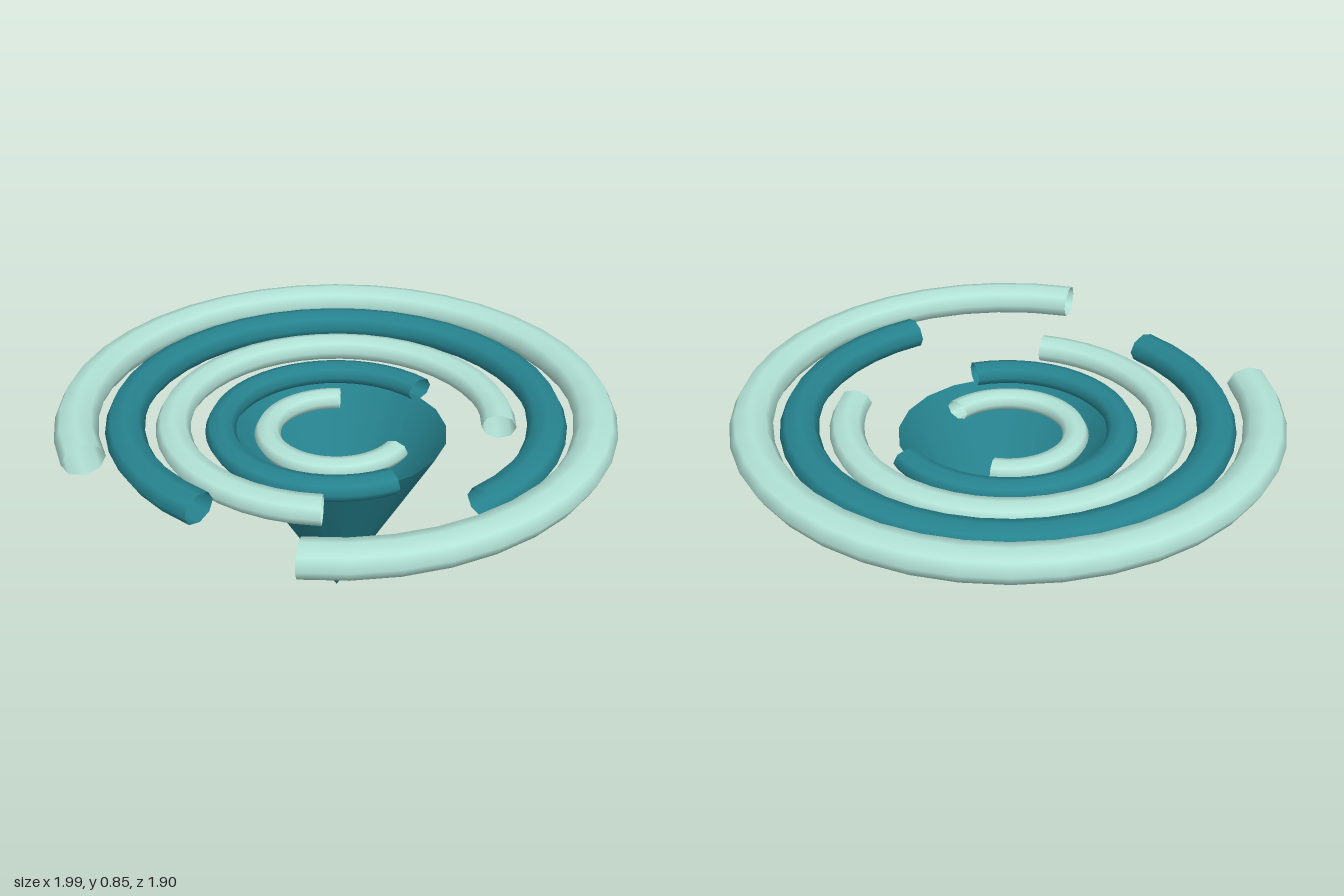
import * as THREE from 'three';

export function createModel() {
  const group = new THREE.Group();
  const teal = new THREE.MeshStandardMaterial({ color: 0x26838f, side: THREE.DoubleSide });
  const mint = new THREE.MeshStandardMaterial({ color: 0xb2e2d6, side: THREE.DoubleSide });
  const centreZ = 0.04;

  // Hollow funnel standing on its tip
  const height = 0.693;
  const coneGeometry = new THREE.ConeGeometry(0.402, height, 20, 1, true);
  coneGeometry.rotateX(Math.PI);
  const cone = new THREE.Mesh(coneGeometry, teal);
  cone.name = 'funnelCone';
  cone.position.set(0, height / 2, centreZ);
  group.add(cone);

  // Five open, slightly flattened arcs: each wider, thicker, higher and turned further round
  for (let i = 0; i < 5; i++) {
    const radius = 0.248 + 0.168 * i;
    const tube = 0.048 + 0.0073 * i;
    const arc = THREE.MathUtils.degToRad(242 + 14.4 * i);
    const geometry = new THREE.TorusGeometry(radius, tube, 8, 32, arc);
    geometry.rotateZ(0.55 * i);
    geometry.rotateX(Math.PI / 2);
    geometry.scale(1, 0.75, 1);
    const ring = new THREE.Mesh(geometry, i % 2 ? teal : mint);
    ring.name = `swirlArc${i + 1}`;
    ring.position.set(0, 0.69 + 0.0244 * i, centreZ);
    group.add(ring);
  }

  return group;
}
